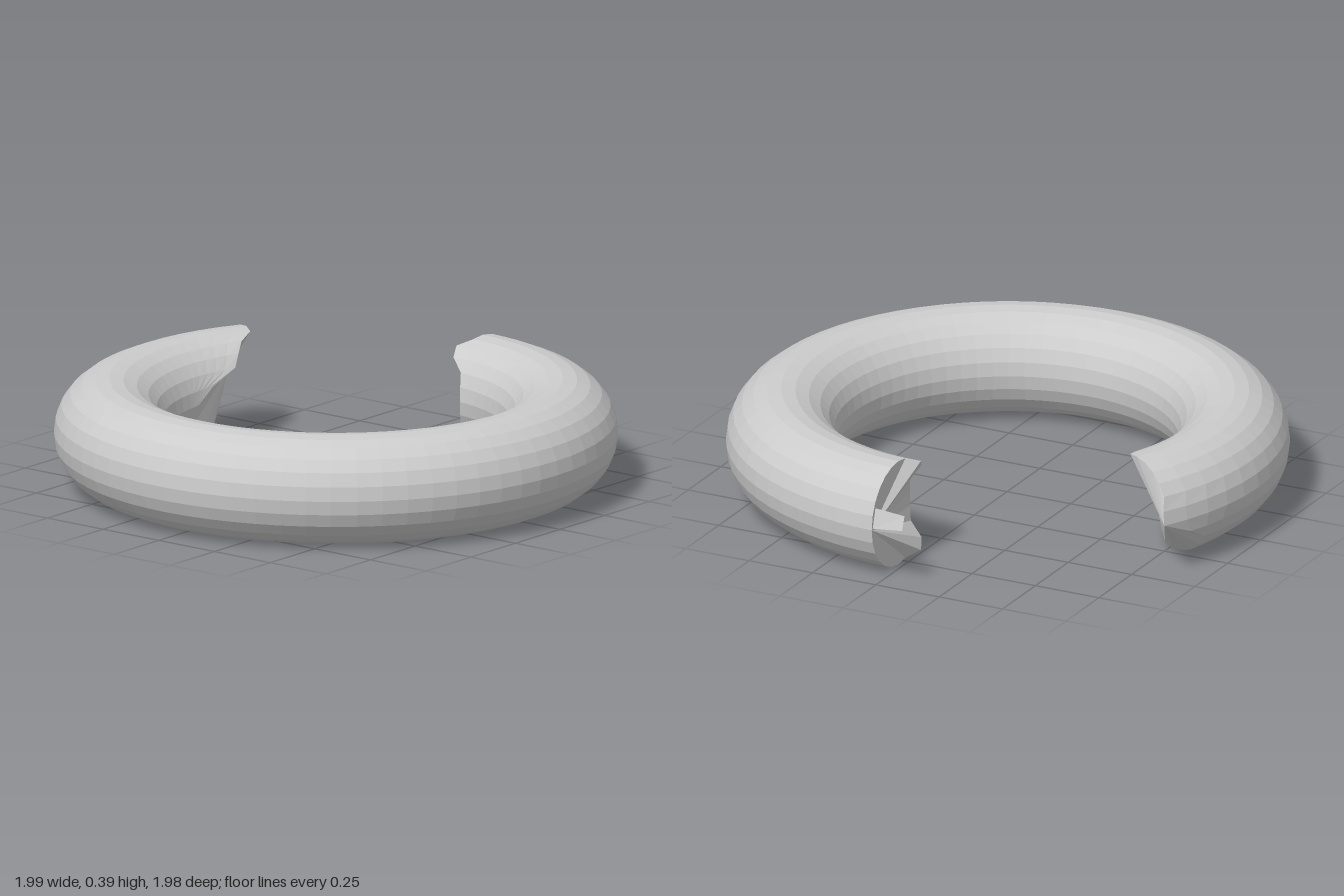
import * as THREE from 'three';

const R = 0.795, r = 0.194, CX = -0.007, CY = 0.211;
const SIDES = 24;

// Break angle in degrees around the ring, for each 15 degree step around the tube
// (tube step 0 = outside, 6 = top, 12 = inside, 18 = bottom)
const frontBreak = [-1.5, -1.5, -1.5, -1.5, -1.5, -1.5, -1.5, -1.5, 1.5, 0, -5.5, -7,
  -7.5, -7, -5.5, 0, 1.5, -1.5, -1.5, -1.5, -1.5, -1.5, -1.5, -1.5];
const backBreak = [61, 61, 62, 62, 62, 62, 62, 62.5, 67, 70, 73, 84,
  92, 92, 86, 81, 78, 75, 74, 74, 73, 73, 73, 68].map(a => a - 360);

function ringPoint(deg, j) {
  const t = THREE.MathUtils.degToRad(deg);
  const p = (j / SIDES) * Math.PI * 2;
  const d = R + r * Math.cos(p);
  return [CX + d * Math.cos(t), CY + r * Math.sin(p), -d * Math.sin(t)];
}

function meshFrom(name, positions, index) {
  const indexed = new THREE.BufferGeometry();
  indexed.setAttribute('position', new THREE.Float32BufferAttribute(positions, 3));
  indexed.setIndex(index);
  const geometry = indexed.toNonIndexed();
  geometry.computeVertexNormals();
  const mesh = new THREE.Mesh(geometry, new THREE.MeshStandardMaterial({
    color: 0xcccccc, flatShading: true, side: THREE.DoubleSide,
  }));
  mesh.name = name;
  return mesh;
}

// Tube wall: even sections, blended into the jagged break at either end
function ringBody() {
  const from = -10, to = -264, steps = 48, endSteps = 6;
  const sections = [];
  for (let i = 0; i < 2; i++) {
    sections.push(frontBreak.map(a => THREE.MathUtils.lerp(a, from, i / 2)));
  }
  for (let i = 0; i <= steps; i++) {
    sections.push(frontBreak.map(() => THREE.MathUtils.lerp(from, to, i / steps)));
  }
  for (let i = 1; i <= endSteps; i++) {
    sections.push(backBreak.map(a => THREE.MathUtils.lerp(to, a, i / endSteps)));
  }

  const positions = [], index = [];
  sections.forEach((angles, i) => angles.forEach((a, j) => {
    positions.push(...ringPoint(a, j));
    if (i === sections.length - 1) return;
    const k = (j + 1) % SIDES;
    const p = i * SIDES + j, q = i * SIDES + k;
    index.push(p, q, p + SIDES, q, q + SIDES, p + SIDES);
  }));
  return meshFrom('ringBody', positions, index);
}

// Broken face: a fan spreading from the outermost point of the break
function brokenFace(name, angles, flip) {
  const positions = angles.flatMap((a, j) => ringPoint(a, j));
  const index = [];
  for (let j = 1; j < SIDES - 1; j++) {
    index.push(0, flip ? j + 1 : j, flip ? j : j + 1);
  }
  return meshFrom(name, positions, index);
}

export function createModel() {
  const group = new THREE.Group();
  group.name = 'brokenRing';
  group.add(ringBody());
  group.add(brokenFace('frontBrokenFace', frontBreak, true));
  group.add(brokenFace('backBrokenFace', backBreak, false));

  // Thin splinter sticking out of the front break
  group.add(meshFrom('splinter', [
    0.985, 0.22, 0.02, 0.965, 0.29, 0.02,
    0.975, 0.285, -0.1, 0.993, 0.235, -0.1,
  ], [0, 2, 1, 0, 3, 2]));
  return group;
}
